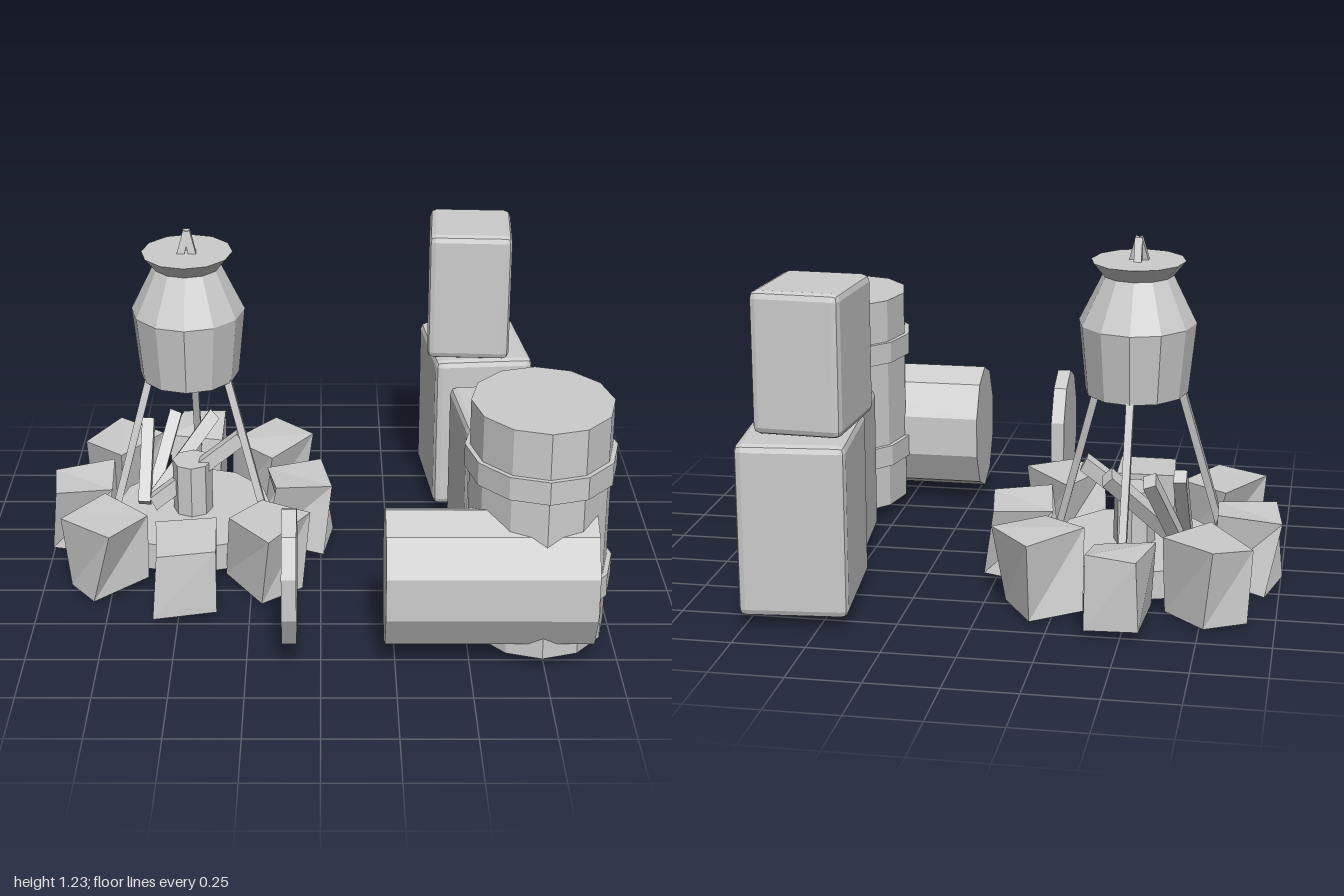
import * as THREE from 'three';
import { RoundedBoxGeometry } from 'three/addons/geometries/RoundedBoxGeometry.js';

export function createModel() {
  const model = new THREE.Group();
  const grey = new THREE.MeshStandardMaterial({ color: 0xcccccc, flatShading: true });
  grey.name = 'plainGrey';

  function add(parent, name, geometry, x = 0, y = 0, z = 0) {
    const mesh = new THREE.Mesh(geometry, grey);
    mesh.name = name;
    mesh.position.set(x, y, z);
    parent.add(mesh);
    return mesh;
  }

  // bar stretched between two points
  function bar(parent, name, a, b, geometryFor) {
    const from = new THREE.Vector3(...a), to = new THREE.Vector3(...b);
    const dir = to.clone().sub(from);
    const mesh = add(parent, name, geometryFor(dir.length()));
    mesh.position.copy(from).lerp(to, 0.5);
    mesh.quaternion.setFromUnitVectors(new THREE.Vector3(0, 1, 0), dir.normalize());
  }

  // standing barrel with two hoops
  const barrel = new THREE.Group();
  barrel.name = 'standingBarrel';
  barrel.position.set(0.74, 0, 0.52);
  model.add(barrel);
  const drum = (rx, h, rz) => new THREE.CylinderGeometry(1, 1, h, 12).scale(rx, 1, rz);
  add(barrel, 'barrelBody', drum(0.24, 0.815, 0.298), 0, 0.4575, 0);
  for (const y of [0.255, 0.665]) add(barrel, 'barrelHoop', drum(0.257, 0.08, 0.317), 0, y, 0);

  // lying barrel and its loose lid, both along x
  const lying = (length) => new THREE.CylinderGeometry(1, 1, length, 10, 1, false, Math.PI / 2)
    .rotateZ(Math.PI / 2).scale(1, 0.245, 0.189);
  add(model, 'lyingBarrel', lying(0.7), 0.564, 0.295, 0.69);
  add(model, 'barrelLid', lying(0.05), -0.105, 0.295, 0.69);

  // crates: width, height, depth, position, turn
  for (const [w, h, d, x, y, z, turn] of [
    [0.34, 0.54, 0.415, 0.671, 0.32, -0.1, 0.1],
    [0.37, 0.595, 0.465, 0.6, 0.3475, -0.63, 0.09],
    [0.308, 0.485, 0.377, 0.566, 0.8925, -0.585, -0.06],
  ]) add(model, 'crate', new RoundedBoxGeometry(w, h, d, 1, 0.025), x, y, z).rotation.y = turn;

  // campfire, narrowed along x
  const fire = new THREE.Group();
  fire.name = 'campfire';
  fire.position.set(-0.48, 0, -0.155);
  fire.scale.x = 0.82;
  model.add(fire);
  add(fire, 'ashBed', new THREE.CylinderGeometry(0.36, 0.36, 0.1, 12), 0, 0.1, 0);
  add(fire, 'stump', new THREE.CylinderGeometry(0.09, 0.09, 0.2, 8), 0, 0.245, 0);

  // pot with shoulder, flared rim and closed top
  const profile = [[0, 0.65], [0.22, 0.7], [0.25, 0.945], [0.15, 1.11], [0.2, 1.16], [0, 1.16]]
    .map(([r, y]) => new THREE.Vector2(r, y));
  add(fire, 'pot', new THREE.LatheGeometry(profile, 12));

  // tripod poles meeting above the pot
  for (let i = 0; i < 3; i++) {
    const t = Math.PI + i * Math.PI * 2 / 3;
    bar(fire, 'tripodPole', [Math.sin(t) * 0.44, 0.07, Math.cos(t) * 0.44],
      [0, 1.235, 0], (l) => new THREE.BoxGeometry(0.032, l, 0.032));
  }

  // firewood fanning up and back
  for (const [a, b] of [
    [[-0.18, 0.18, 0.02], [0.22, 0.43, -0.01]],
    [[-0.18, 0.18, -0.03], [0.09, 0.44, -0.21]],
    [[-0.19, 0.18, -0.04], [-0.09, 0.44, -0.23]],
    [[-0.22, 0.18, 0.03], [-0.21, 0.44, -0.16]],
  ]) bar(fire, 'firewood', a, b, (l) => new THREE.BoxGeometry(0.055, l, 0.055));

  // ring of rough, twisted stones
  let seed = 7;
  const jitter = (s) => ((seed = (seed * 16807) % 2147483647) / 2147483647 - 0.5) * s;
  for (let i = 0; i < 8; i++) {
    const t = i * Math.PI / 4;
    const geo = new THREE.BoxGeometry(0.24, 0.25, 0.26);
    const p = geo.attributes.position;
    const twist = 0.12 + jitter(0.3);
    const corners = {};
    for (let v = 0; v < p.count; v++) {
      const x = p.getX(v), y = p.getY(v), z = p.getZ(v);
      const key = [x, y, z].map(Math.sign).join();
      corners[key] ??= [jitter(0.05), jitter(0.04), jitter(0.05)];
      const a = Math.sign(y) * twist, [jx, jy, jz] = corners[key];
      p.setXYZ(v, x * Math.cos(a) + z * Math.sin(a) + jx, y + jy,
        z * Math.cos(a) - x * Math.sin(a) + jz);
    }
    geo.computeVertexNormals();
    add(fire, 'fireStone', geo, Math.sin(t) * 0.49, 0.152, Math.cos(t) * 0.5).rotation.y = t + jitter(0.2);
  }
  return model;
}
